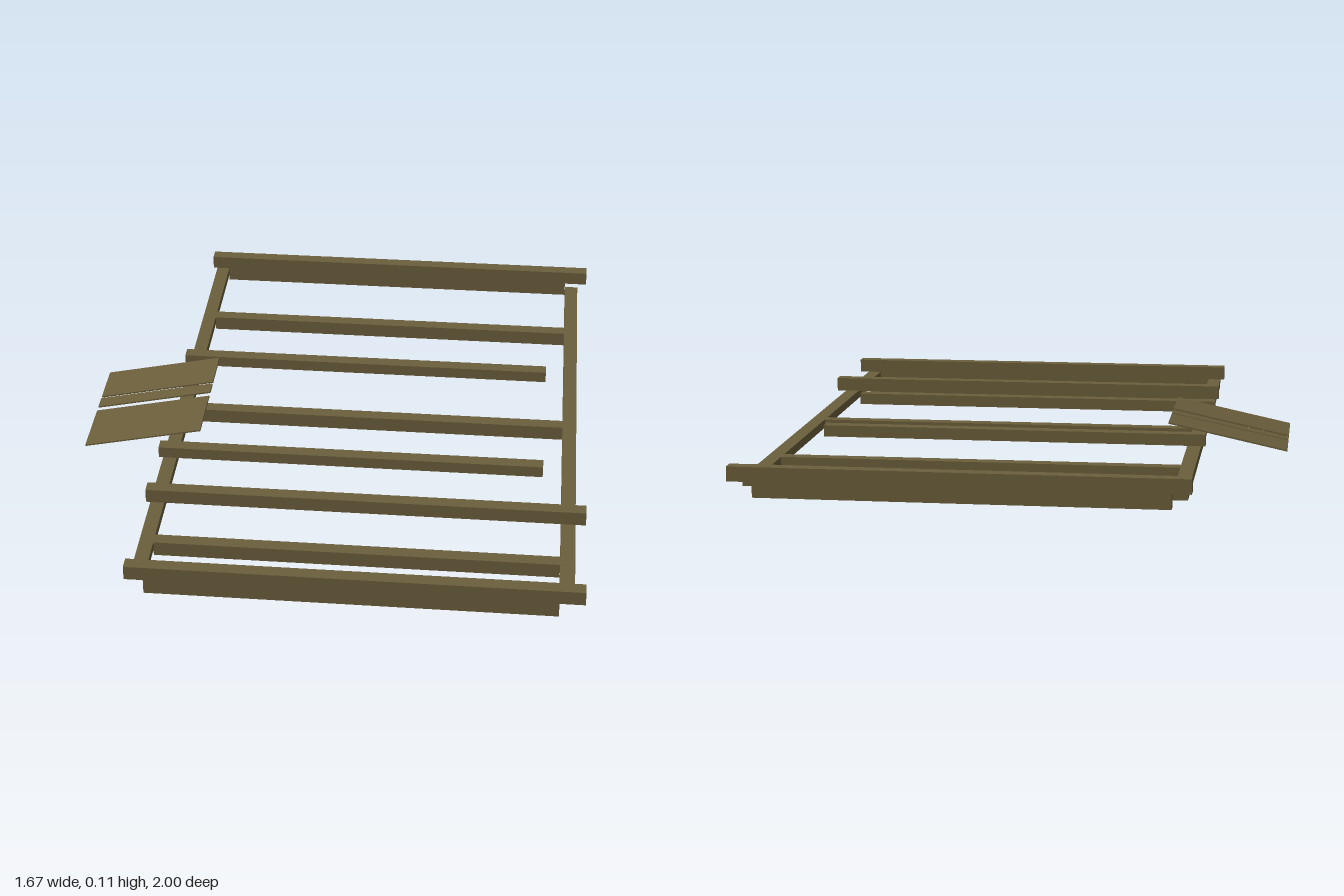
import * as THREE from 'three';

export function createModel() {
  const model = new THREE.Group();
  const wood = new THREE.MeshStandardMaterial({ color: 0x6b5f3c });
  wood.name = 'weathered wood';

  // Box given by its lower and upper limits on each axis
  function beam(name, [x0, x1], [y0, y1], [z0, z1]) {
    const mesh = new THREE.Mesh(new THREE.BoxGeometry(x1 - x0, y1 - y0, z1 - z0), wood);
    mesh.position.set((x0 + x1) / 2, (y0 + y1) / 2, (z0 + z1) / 2);
    mesh.name = name;
    model.add(mesh);
  }

  const between = [-0.513, 0.752];
  const overhang = [-0.572, 0.83];
  const half = 0.0215;

  // Long side rails
  beam('rightRail', [-0.558, -0.513], [0.02, 0.048], [-0.957, 0.957]);
  beam('leftRail', [0.752, 0.798], [0.02, 0.048], [-0.932, 0.957]);

  // Cross beams fitted between the rails
  for (const z of [-0.978, -0.61, 0.01, 0.783, 0.978]) {
    beam('lowerCrossBeam', between, [0, 0.048], [z - half, z + half]);
  }

  // Full cross beams resting on the rails
  for (const z of [-0.978, 0.567, 0.978]) {
    beam('upperCrossBeam', overhang, [0.048, 0.094], [z - half, z + half]);
  }

  // Shorter beams that stop before the left rail
  for (const z of [-0.275, 0.31]) {
    beam('shortCrossBeam', [-0.572, 0.69], [0.048, 0.086], [z - half, z + half]);
  }

  // Loose boards leaning over the right rail
  const run = 0.39, rise = 0.083;
  for (const [z0, z1] of [[-0.213, -0.055], [-0.044, 0.01], [0.035, 0.248]]) {
    const board = new THREE.Mesh(
      new THREE.BoxGeometry(Math.hypot(run, rise), 0.005, z1 - z0), wood);
    board.position.set(-0.64, 0.064, (z0 + z1) / 2);
    board.rotation.z = Math.atan2(rise, run);
    board.name = 'looseBoard';
    model.add(board);
  }

  return model;
}
